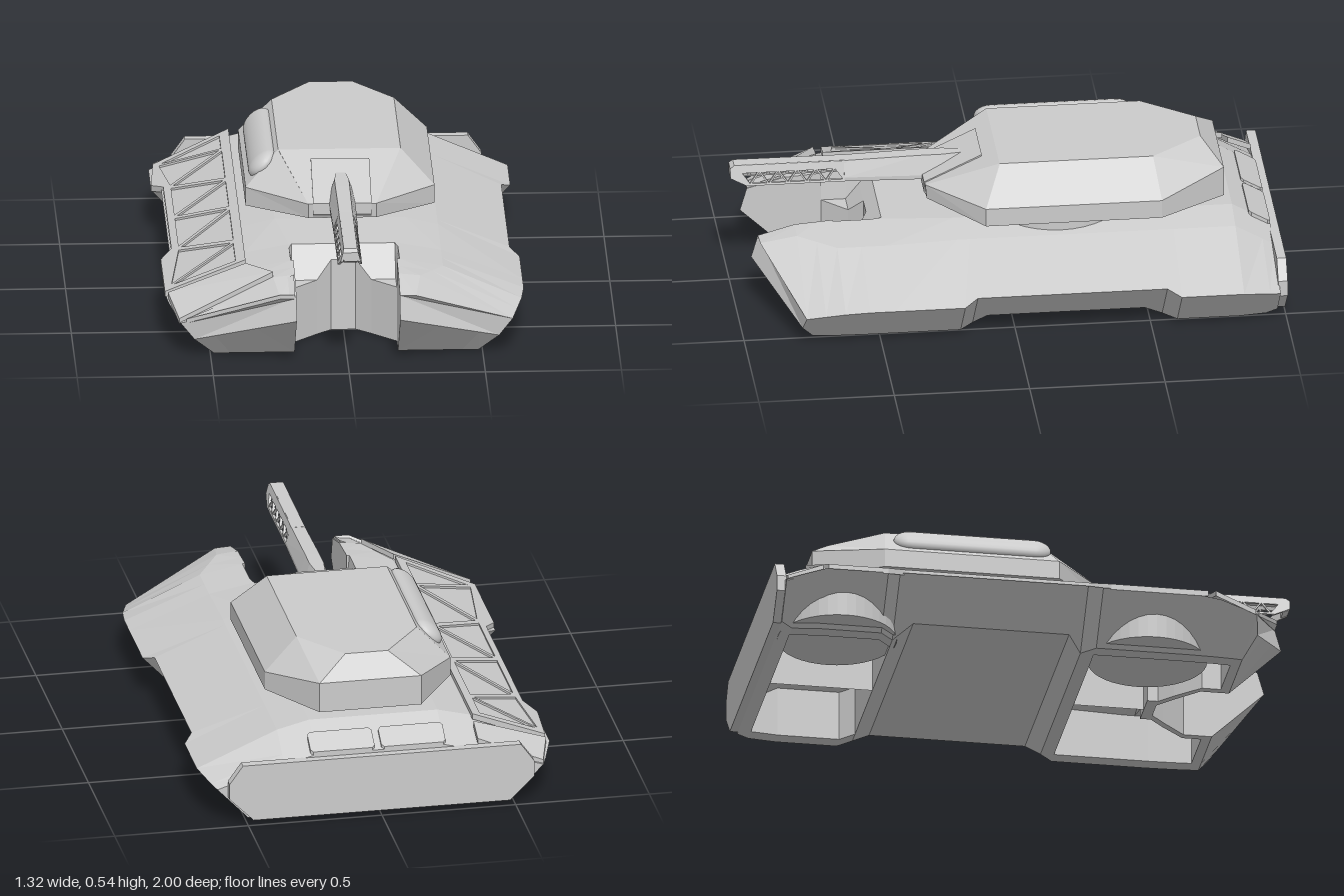
import * as THREE from 'three';

const grey = new THREE.MeshStandardMaterial({ color: 0xcccccc, flatShading: true, side: THREE.DoubleSide });
const smooth = new THREE.MeshStandardMaterial({ color: 0xcccccc, side: THREE.DoubleSide });

function add(parent, name, geometry, material = grey) {
  const mesh = new THREE.Mesh(geometry, material);
  mesh.name = name;
  parent.add(mesh);
  return mesh;
}

// Piecewise-linear value through [z, value] knots
function along(knots, z) {
  const i = knots.findIndex(([k]) => z <= k);
  if (i === 0) return knots[0][1];
  if (i < 0) return knots[knots.length - 1][1];
  const [[z0, v0], [z1, v1]] = [knots[i - 1], knots[i]];
  return v0 + (v1 - v0) * (z - z0) / (z1 - z0);
}

// Skin closed cross-sections into a faceted solid; sign -1 mirrors it in x
function loft(sections, sign = 1) {
  const pos = [];
  const tri = (a, b, c) => {
    for (const p of sign > 0 ? [a, b, c] : [a, c, b]) pos.push(p[0] * sign, p[1], p[2]);
  };
  const n = sections[0].length;
  for (let i = 0; i < sections.length - 1; i++) {
    for (let j = 0; j < n; j++) {
      const k = (j + 1) % n, s = sections[i], t = sections[i + 1];
      tri(s[j], t[j], t[k]);
      tri(s[j], t[k], s[k]);
    }
  }
  const first = sections[0], last = sections[sections.length - 1];
  for (let k = 1; k < n - 1; k++) {
    tri(first[0], first[k], first[k + 1]);
    tri(last[0], last[k + 1], last[k]);
  }
  const g = new THREE.BufferGeometry();
  g.setAttribute('position', new THREE.Float32BufferAttribute(pos, 3));
  g.computeVertexNormals();
  return g;
}

const shapeOf = (pts) => new THREE.Shape(pts.map(([x, y]) => new THREE.Vector2(x, y)));

// Plate drawn in plan (x, z) and draped on a sloping surface y = height(x, z)
function plate(pts, height, thick, holes = []) {
  const shape = shapeOf(pts);
  shape.holes = holes.map(shapeOf);
  const g = new THREE.ExtrudeGeometry(shape, { depth: thick, bevelEnabled: false });
  g.rotateX(Math.PI / 2);
  const p = g.attributes.position;
  for (let i = 0; i < p.count; i++) {
    p.setY(i, p.getY(i) + thick + height(Math.abs(p.getX(i)), p.getZ(i)) - 0.004);
  }
  g.computeVertexNormals();
  return g;
}

// Extrude a (z, y) side profile across x, centred
function sideProfile(pts, width, holes = []) {
  const shape = shapeOf(pts);
  shape.holes = holes.map(shapeOf);
  const g = new THREE.ExtrudeGeometry(shape, { depth: width, bevelEnabled: false });
  g.translate(0, 0, -width / 2);
  return g.rotateY(-Math.PI / 2);
}

// Hull outlines along its length
const deckY = [[-0.97, 0.25], [-0.83, 0.33], [0.3, 0.33], [0.46, 0.32], [0.64, 0.32], [0.78, 0.31]];
const deckX = [[0.35, 0.24], [0.46, 0.2]];
const ridgeX = [[0.64, 0.36], [0.78, 0.27]];
const edgeX = [[-0.97, 0.61], [-0.85, 0.66], [-0.6, 0.66], [-0.55, 0.625], [0.15, 0.625], [0.2, 0.66], [0.6, 0.66], [0.78, 0.61]];
const edgeY = [[-0.97, 0.14], [-0.83, 0.17], [-0.6, 0.17], [-0.55, 0.19], [0.15, 0.19], [0.2, 0.17], [0.6, 0.17], [0.78, 0.13]];
const floorY = [[-0.97, 0.02], [-0.93, 0], [-0.55, 0], [-0.48, 0.05], [0.1, 0.05], [0.15, 0]];

// Half cross-section: notch is the inner x of the front gap, inner the inside of its wall
function hullSection(z, { hollow = false, notch = 0, notchY = along(deckY, z), inner = notch } = {}) {
  const yt = along(deckY, z), xe = along(edgeX, z), ye = along(edgeY, z), yb = along(floorY, z);
  const xr = along(ridgeX, z), xb = xe - (ye - yb) * 0.95, zb = Math.min(z, 0.745);
  const yc = hollow ? Math.min(yt - 0.05, notchY - 0.03) : yb;
  return [
    [notch, notchY, z], [0.19, notchY, z], [along(deckX, z), yt, z], [xr, yt - (xr - 0.24) * 0.25, z], [xe, ye, z],
    [xb, yb, zb], [xb - 0.06, yb, zb], [xb - 0.06, hollow ? Math.min(yc, yt - 0.14) : yb, zb],
    [inner, yc, zb], [inner, yb, zb], [notch, yb, zb],
  ];
}

function buildHull(root) {
  const hull = new THREE.Group();
  hull.name = 'hull';
  root.add(hull);
  const hollow = true;
  // Lower edge of the slanted pod nose
  const chin = [0, 0.2, 0.4, 0.6, 0.8, 1].map((t) => [0.56 - 0.37 * t, 0.07 + 0.115 * t, 0.79 + 0.15 * t]);
  const sections = [
    ...[-0.97, -0.93].map((z) => hullSection(z)),
    ...[-0.93, -0.83, -0.6, -0.55].map((z) => hullSection(z, { hollow })),
    ...[-0.55, -0.48, 0.1, 0.15, 0.2].map((z) => hullSection(z)),
    ...[0.2, 0.46].map((z) => hullSection(z, { hollow })),
    // Chamfered gap between the front pods, with a sloping upper shelf
    hullSection(0.46, { hollow, inner: 0.08 }),
    hullSection(0.5, { hollow, inner: 0.08, notchY: 0.272 }),
    hullSection(0.5, { hollow, inner: 0.08, notch: 0.045, notchY: 0.272 }),
    hullSection(0.55, { hollow, inner: 0.135, notch: 0.1, notchY: 0.21 }),
    hullSection(0.64, { hollow, inner: 0.22, notch: 0.19, notchY: 0.21 }),
    hullSection(0.64, { hollow, inner: 0.22, notch: 0.19 }),
    hullSection(0.71, { hollow, inner: 0.22, notch: 0.19 }),
    ...[0.71, 0.78].map((z) => hullSection(z, { notch: 0.19 })),
    [[0.19, 0.272, 0.915], [0.195, 0.272, 0.915], [0.2, 0.272, 0.915], [0.25, 0.27, 0.913], [0.61, 0.13, 0.78], ...chin],
  ];
  add(hull, 'hullLeft', loft(sections, 1));
  add(hull, 'hullRight', loft(sections, -1));

  // Rear plate
  const half = [[0.48, 0.02], [0.57, 0.11], [0.57, 0.17], [0.52, 0.24]];
  const back = shapeOf([...half, ...half.slice().reverse().map(([x, y]) => [-x, y])]);
  add(hull, 'rearPlate', new THREE.ExtrudeGeometry(back, { depth: 0.035, bevelEnabled: false }))
    .position.z = -1;

  // Rear deck hatches
  for (const x of [-0.125, 0.14]) {
    const a = x - 0.12, b = x + 0.12, c = 0.01;
    add(hull, 'rearHatch', plate(
      [[a, -0.96], [a + c, -0.97], [b - c, -0.97], [b, -0.96], [b, -0.9], [b - c, -0.89], [a + c, -0.89], [a, -0.9]],
      (_, z) => along(deckY, z), 0.015));
  }

  // Hover drums under the right side
  for (const z of [-0.745, 0.41]) {
    add(hull, 'hoverDrum', new THREE.CylinderGeometry(0.22, 0.22, 0.15, 40))
      .position.set(-0.38, 0.09, z);
  }
}

// Armour plates on the right flank, the main one grooved with a zigzag truss
function buildSideArmour(root) {
  const armour = new THREE.Group();
  armour.name = 'sideArmour';
  root.add(armour);
  const flank = (x) => 0.30 - (x - 0.36) * 0.433;
  const nodes = [[-0.39, -0.83], [-0.635, -0.79], [-0.39, -0.67], [-0.6, -0.5], [-0.39, -0.33], [-0.6, -0.16],
    [-0.39, -0.01], [-0.6, 0.19], [-0.39, 0.37], [-0.645, 0.56], [-0.39, 0.59]];
  const holes = nodes.slice(2).map((_, i) => {
    const t = nodes.slice(i, i + 3);
    const mid = [0, 1].map((k) => (t[0][k] + t[1][k] + t[2][k]) / 3);
    return t.map((p) => p.map((v, k) => mid[k] + (v - mid[k]) * 0.88));
  });
  const outline = [[-0.365, -0.86], [-0.645, -0.82], [-0.66, -0.6], [-0.618, -0.53], [-0.618, 0.16],
    [-0.66, 0.23], [-0.66, 0.59], [-0.365, 0.615]];
  add(armour, 'trussBacking', plate(outline, flank, 0.014));
  add(armour, 'trussPlate', plate(outline, flank, 0.022, holes));
  add(armour, 'rearFlankPlate', plate(
    [[-0.365, -0.88], [-0.645, -0.84], [-0.61, -0.965], [-0.365, -0.965]],
    (x, z) => flank(x) + (z + 0.83) * 0.4, 0.022));
  add(armour, 'frontFlankPlate', plate(
    [[-0.365, 0.64], [-0.65, 0.62], [-0.615, 0.775], [-0.27, 0.775]],
    (x, z) => flank(x) - (z - 0.63) * (0.22 + 0.55 * (x - 0.27)), 0.02));
  add(armour, 'nosePlate', plate(
    [[-0.195, 0.79], [-0.59, 0.79], [-0.25, 0.915], [-0.195, 0.915]],
    (x, z) => 0.306 - 0.52 * Math.max(0, x - 0.27) - 0.28 * (z - 0.78), 0.016));
}

function buildTurret(root) {
  const turret = new THREE.Group();
  turret.name = 'turret';
  turret.position.x = 0.005;
  root.add(turret);
  add(turret, 'turretRing', new THREE.CylinderGeometry(0.33, 0.33, 0.06, 48))
    .position.set(0, 0.315, -0.19);

  // Octagonal levels: half outlines [x, y, z] from rear to front, mirrored
  const level = (half) => [...half, ...half.slice().reverse().map(([x, y, z]) => [-x, y, z])];
  add(turret, 'turretBody', loft([
    level([[0.19, 0.345, -0.805], [0.347, 0.345, -0.56], [0.347, 0.345, 0.09], [0.125, 0.36, 0.285]]),
    level([[0.19, 0.46, -0.805], [0.347, 0.415, -0.56], [0.347, 0.415, 0.09], [0.125, 0.415, 0.29]]),
    level([[0.08, 0.538, -0.73], [0.225, 0.538, -0.54], [0.225, 0.538, 0.025], [0.224, 0.538, 0.027]]),
  ]));

  // Flattened stowage pod lying on the right shoulder
  const pod = new THREE.CapsuleGeometry(0.062, 0.46, 6, 20).rotateX(Math.PI / 2)
    .scale(1, 0.55, 1).rotateZ(Math.PI / 4);
  add(turret, 'shoulderPod', pod, smooth).position.set(-0.284, 0.48, -0.225);

  // Gun mantlet panel set into the sloping front
  add(turret, 'mantlet', sideProfile([[0.08, 0.4], [0.08, 0.519], [0.293, 0.418], [0.293, 0.375], [0.28, 0.358]], 0.215));

  // Gun base, narrower toward the top
  const gun = new THREE.Group();
  gun.name = 'gun';
  turret.add(gun);
  const slice = (z, y0, y1, w) => [[-w * 0.55, y1, z], [w * 0.55, y1, z], [w, y0 + 0.015, z],
    [w, y0, z], [-w, y0, z], [-w, y0 + 0.015, z]];
  add(gun, 'gunBase', loft([
    slice(0.14, 0.4, 0.487, 0.03), slice(0.22, 0.4, 0.487, 0.048),
    slice(0.3, 0.4, 0.487, 0.048), slice(0.58, 0.405, 0.48, 0.045),
  ]));

  // Muzzle: two inward-leaning side plates with triangular openings, and a top spine
  const step = 0.035;
  const holes = Array.from({ length: 10 }, (_, i) => {
    const z = 0.585 + i * step;
    const [base, tip] = i % 2 ? [0.452, 0.413] : [0.413, 0.452];
    return [[z, base], [z + step * 1.6, base], [z + step * 0.8, tip]];
  });
  for (const s of [-1, 1]) {
    const side = sideProfile(
      [[0.57, 0.405], [0.94, 0.405], [1.0, 0.435], [1.0, 0.47], [0.985, 0.482], [0.57, 0.48]], 0.01, holes);
    const p = side.attributes.position;
    for (let i = 0; i < p.count; i++) p.setX(i, p.getX(i) + s * (0.04 - (p.getY(i) - 0.405) * 0.26));
    side.computeVertexNormals();
    add(gun, 'muzzleSide', side);
  }
  add(gun, 'muzzleSpine', sideProfile([[0.57, 0.465], [1, 0.465], [1, 0.47], [0.985, 0.482], [0.57, 0.481]], 0.045));
  add(gun, 'muzzleTip', sideProfile([[0.975, 0.424], [1, 0.436], [1, 0.468], [0.975, 0.468]], 0.05));
}

export function createModel() {
  const root = new THREE.Group();
  root.name = 'hoverTank';
  buildHull(root);
  buildSideArmour(root);
  buildTurret(root);
  return root;
}
